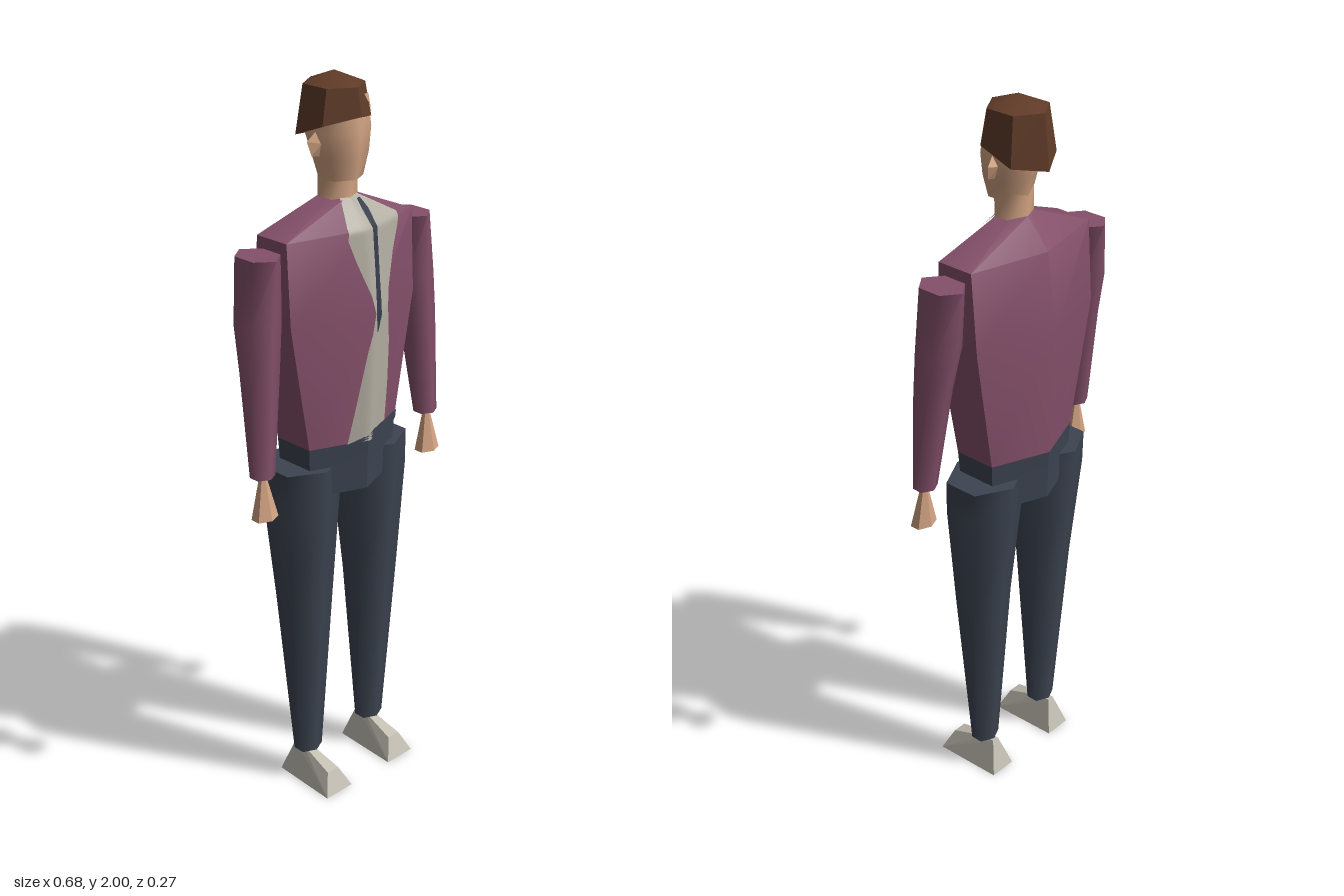
import * as THREE from 'three';
import { toCreasedNormals } from 'three/addons/utils/BufferGeometryUtils.js';
import { ConvexGeometry } from 'three/addons/geometries/ConvexGeometry.js';

const paint = (name, color) => {
  const m = new THREE.MeshStandardMaterial({ color });
  m.name = name;
  return m;
};

// A hexagon with points at front and back; tilt raises its front.
function hexPoint({ y, cx = 0, cz = 0, rx, rz, tilt = 0 }, k) {
  const a = (k * Math.PI) / 3;
  const z = cz + rz * Math.cos(a);
  return [cx + (rx * Math.sin(a)) / Math.sin(Math.PI / 3), y + tilt * z, z];
}

// Capped loft through hexagonal rings, listed from bottom to top.
function loft(rings, crease) {
  const pos = [], index = [];
  rings.forEach((r) => { for (let k = 0; k < 6; k++) pos.push(...hexPoint(r, k)); });
  for (let i = 0; i < rings.length - 1; i++) {
    for (let k = 0; k < 6; k++) {
      const a = i * 6 + k, b = i * 6 + ((k + 1) % 6);
      index.push(a, b, b + 6, a, b + 6, a + 6);
    }
  }
  const top = (rings.length - 1) * 6;
  for (let k = 1; k < 5; k++) index.push(0, k + 1, k, top, top + k, top + k + 1);
  const g = new THREE.BufferGeometry();
  g.setAttribute('position', new THREE.Float32BufferAttribute(pos, 3));
  g.setIndex(index);
  return toCreasedNormals(g, crease);
}

// Front surface depth of a loft at a given x and y.
function frontZ(rings, x, y) {
  let i = 0;
  while (i < rings.length - 2 && y > rings[i + 1].y) i++;
  const a = rings[i], b = rings[i + 1], t = (y - a.y) / (b.y - a.y);
  const rx = a.rx + (b.rx - a.rx) * t, rz = a.rz + (b.rz - a.rz) * t;
  const ca = a.cz || 0, cb = b.cz || 0;
  return ca + (cb - ca) * t + rz * (1 - 0.5 * Math.min(1, Math.abs(x) / rx));
}

// Thin painted panel following a loft's front; rows are [y, xMin, xMax].
function panel(rings, rows, offset) {
  const pos = [], index = [], cols = 12, steps = 4;
  const count = (rows.length - 1) * steps;
  for (let j = 0; j <= count; j++) {
    const i = Math.min(Math.floor(j / steps), rows.length - 2), t = j / steps - i;
    const [y, x0, x1] = rows[i].map((v, n) => v + (rows[i + 1][n] - v) * t);
    for (let c = 0; c <= cols; c++) {
      const x = x0 + ((x1 - x0) * c) / cols;
      pos.push(x, y, frontZ(rings, x, y) + offset);
      if (j < count && c < cols) {
        const a = j * (cols + 1) + c, d = a + cols + 1;
        index.push(a, a + 1, d + 1, a, d + 1, d);
      }
    }
  }
  const g = new THREE.BufferGeometry();
  g.setAttribute('position', new THREE.Float32BufferAttribute(pos, 3));
  g.setIndex(index);
  g.computeVertexNormals();
  return g;
}

export function createModel() {
  const model = new THREE.Group();
  model.name = 'standingMan';
  const jacket = paint('plum jacket', 0x84506a);
  const trousers = paint('slate trousers', 0x3d4451);
  const shirt = paint('grey shirt', 0xb3aea2);
  const shoe = paint('pale shoe', 0xc3bfb3);
  const skin = paint('skin', 0xd3a483);
  const hair = paint('brown hair', 0x603b27);
  const tieColor = paint('dark tie', 0x363c4b);
  const add = (name, geometry, material) => {
    const mesh = new THREE.Mesh(geometry, material);
    mesh.name = name;
    model.add(mesh);
  };

  // Jacket and hips
  const torso = [
    { y: 1.05, rx: 0.158, rz: 0.12 },
    { y: 1.4, cz: -0.004, rx: 0.22, rz: 0.133 },
    { y: 1.62, cz: -0.002, rx: 0.221, rz: 0.107 },
    { y: 1.695, rx: 0.04, rz: 0.042 },
  ];
  add('jacket', loft(torso, 0.7), jacket);
  add('hips', loft([
    { y: 0.91, rx: 0.15, rz: 0.115 },
    { y: 1.0, rx: 0.155, rz: 0.116 },
    { y: 1.05, rx: 0.158, rz: 0.12 },
  ], 0.7), trousers);
  add('waistband', panel(torso, [[1.05, -0.06, 0.156], [1.075, 0.02, 0.158]], 0.005), trousers);

  // Shirt opening and tie
  add('shirtFront', panel(torso, [
    [1.05, -0.06, 0.085], [1.18, -0.035, 0.092], [1.3, -0.012, 0.09], [1.4, 0.015, 0.077],
    [1.45, 0.0, 0.085], [1.54, -0.035, 0.115], [1.6, -0.055, 0.143], [1.63, -0.05, 0.15],
    [1.692, -0.025, 0.04],
  ], 0.004), shirt);
  add('tie', panel(torso, [
    [1.35, 0.02, 0.024], [1.39, 0.015, 0.04], [1.5, 0.02, 0.04], [1.62, 0.022, 0.042],
    [1.66, 0.02, 0.046], [1.685, 0.022, 0.038],
  ], 0.007), tieColor);

  // Neck, head and hair
  add('neck', loft([
    { y: 1.68, cz: 0.003, rx: 0.048, rz: 0.045 },
    { y: 1.76, cz: 0.003, rx: 0.048, rz: 0.045 },
  ], 1.2), skin);
  add('head', loft([
    { y: 1.74, cz: 0.015, rx: 0.051, rz: 0.055 },
    { y: 1.8, cz: 0.013, rx: 0.066, rz: 0.068 },
    { y: 1.86, cz: 0.004, rx: 0.077, rz: 0.079 },
    { y: 1.91, cz: 0.0, rx: 0.073, rz: 0.076 },
  ], 1.2), skin);
  const hairRings = [
    { y: 1.868, cz: -0.012, rx: 0.084, rz: 0.097, tilt: 0.37 },
    { y: 1.97, cz: -0.01, rx: 0.066, rz: 0.084 },
    { y: 2.0, cz: -0.01, rx: 0.002, rz: 0.002 },
  ];
  add('hair', loft(hairRings, 0.5), hair);

  // Bare temple on the left front face of the hair
  const [f0, s0, f1, s1] = [[0, 0], [0, 1], [1, 0], [1, 1]].map(
    ([i, k]) => new THREE.Vector3(...hexPoint(hairRings[i], k)));
  const temple = [[0.95, 0.1], [0.95, 0.65], [0.45, 0.72], [0.82, 0.4]].map(([u, v]) =>
    f0.clone().lerp(s0, u).lerp(f1.clone().lerp(s1, u), v).add(new THREE.Vector3(0.002, 0, 0.003)));
  const templeGeometry = new THREE.BufferGeometry().setFromPoints(temple);
  templeGeometry.setIndex([0, 1, 3, 1, 2, 3]);
  templeGeometry.computeVertexNormals();
  add('temple', templeGeometry, skin);

  for (const [side, s] of [['left', 1], ['right', -1]]) {
    // Ear
    add(side + 'Ear', new ConvexGeometry([
      [0.07, 1.87, 0.006], [0.1, 1.84, -0.002], [0.092, 1.805, 0.006], [0.065, 1.8, 0.006],
      [0.07, 1.835, 0.02], [0.07, 1.835, -0.01],
    ].map(([x, y, z]) => new THREE.Vector3(s * x, y, z))), skin);

    // Sleeve and hand
    add(side + 'Sleeve', loft([
      { y: 1.02, cx: s * 0.303, cz: 0.04, rx: 0.03, rz: 0.031 },
      { y: 1.3, cx: s * 0.286, cz: 0.018, rx: 0.047, rz: 0.047 },
      { y: 1.42, cx: s * 0.277, cz: 0.004, rx: 0.053, rz: 0.06 },
      { y: 1.59, cx: s * 0.267, cz: -0.003, rx: 0.045, rz: 0.068 },
    ], 1.2), jacket);
    add(side + 'Hand', loft([
      { y: 0.905, cx: s * 0.305, cz: 0.048, rx: 0.034, rz: 0.028 },
      { y: 1.025, cx: s * 0.305, cz: 0.042, rx: 0.007, rz: 0.009 },
    ], 0.5), skin);

    // Trouser leg
    add(side + 'Leg', loft([
      { y: 0.095, cx: s * 0.122, cz: 0.008, rx: 0.037, rz: 0.035 },
      { y: 0.6, cx: s * 0.126, cz: 0.004, rx: 0.074, rz: 0.068 },
      { y: 0.9, cx: s * 0.126, cz: -0.004, rx: 0.094, rz: 0.1 },
      { y: 0.99, cx: s * 0.126, cz: -0.006, rx: 0.095, rz: 0.1 },
    ], 1.2), trousers);

    // Wedge shoe
    const corners = [];
    for (const [w, y, z] of [
      [0.048, 0, 0.137], [0.04, 0, -0.062], [0.02, 0.06, 0.11], [0.01, 0.095, 0], [0.01, 0.095, -0.033],
    ]) for (const m of [-1, 1]) corners.push(new THREE.Vector3(s * 0.123 + m * w, y, z));
    add(side + 'Shoe', new ConvexGeometry(corners), shoe);
  }
  return model;
}
